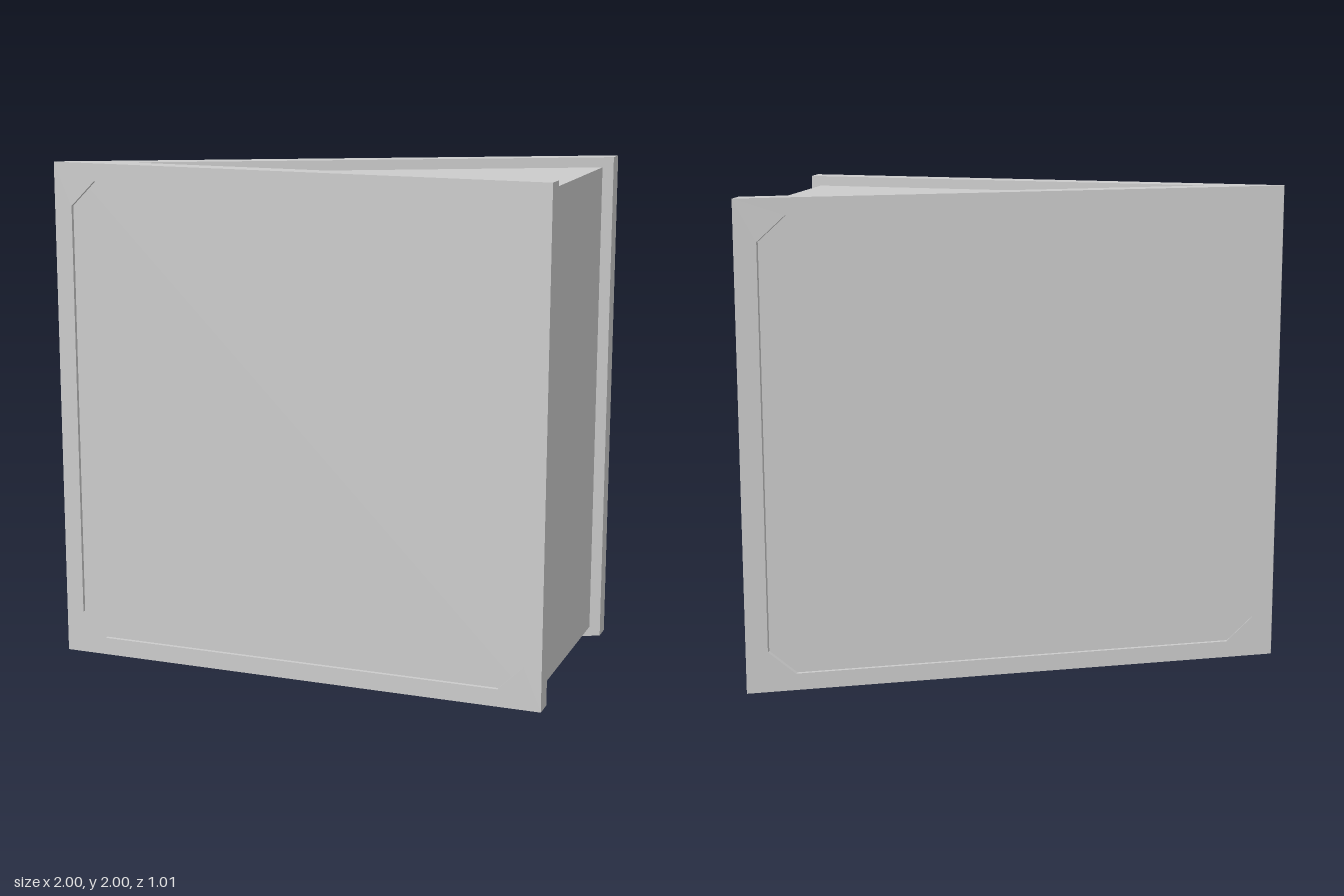
import * as THREE from 'three';

const HEIGHT = 2, RECESS = 0.015;
const material = new THREE.MeshStandardMaterial({ color: 0xcccccc, flatShading: true });

// Prism standing on y0, from a plan outline of [x, z] points
function prism(name, points, y0, y1) {
  const shape = new THREE.Shape(points.map(([x, z]) => new THREE.Vector2(x, -z)));
  const geometry = new THREE.ExtrudeGeometry(shape, { depth: y1 - y0, bevelEnabled: false });
  geometry.rotateX(-Math.PI / 2).translate(0, y0, 0);
  const mesh = new THREE.Mesh(geometry, material);
  mesh.name = name;
  return mesh;
}

// Thin rim with a chamfered opening; place(x, z) sets each vertex's final z
function rim(name, marginX, innerZ, place) {
  const shape = new THREE.Shape([[-1, 0], [1, 0], [1, HEIGHT], [-1, HEIGHT]].map(p => new THREE.Vector2(...p)));
  const a = 1 - marginX, b = 0.07, t = HEIGHT - b, c = 0.1;
  shape.holes.push(new THREE.Path([
    [-a + c, b], [-a, b + c], [-a, t - c], [-a + c, t],
    [a - c, t], [a, t - c], [a, b + c], [a - c, b],
  ].map(p => new THREE.Vector2(...p))));
  const geometry = new THREE.ExtrudeGeometry(shape, { depth: RECESS, bevelEnabled: false });
  const pos = geometry.attributes.position;
  for (let i = 0; i < pos.count; i++) {
    let x = pos.getX(i);
    const z = pos.getZ(i);
    // mitre the inner edge where the two panels meet
    if (x < -0.999 && Math.abs(z - innerZ) < 1e-4) x = -0.95;
    pos.setXYZ(i, x, pos.getY(i), place(x, z));
  }
  geometry.computeVertexNormals();
  const mesh = new THREE.Mesh(geometry, material);
  mesh.name = name;
  return mesh;
}

export function createModel() {
  const model = new THREE.Group();
  model.name = 'foldedPanelStand';
  const backLine = x => -0.005 - 0.5 * x;
  const slant = Math.hypot(1, 0.5);

  // V-shaped pair of panels, set back by the recess depth
  model.add(prism('foldedPanels', [
    [-1, 0.505], [-0.95, 0.49], [1, 0.49], [1, 0.425], [-0.7, 0.425],
    [1, -0.43], [1, backLine(1) + RECESS * slant],
    [-0.95, backLine(-0.95) + RECESS * slant], [-1, 0.495],
  ], 0, HEIGHT));

  // Raised rims around the recessed faces
  model.add(rim('frontRim', 0.072, 0, (x, z) => 0.505 - RECESS + z));
  model.add(rim('backRim', 0.08, RECESS, (x, z) => backLine(x) + z * slant));

  // Wedge filling the space between the panels
  model.add(prism('wedgeCore', [[-0.74, 0.44], [0.96, 0.44], [0.96, -0.43]], 0.04, HEIGHT - 0.04));
  return model;
}
